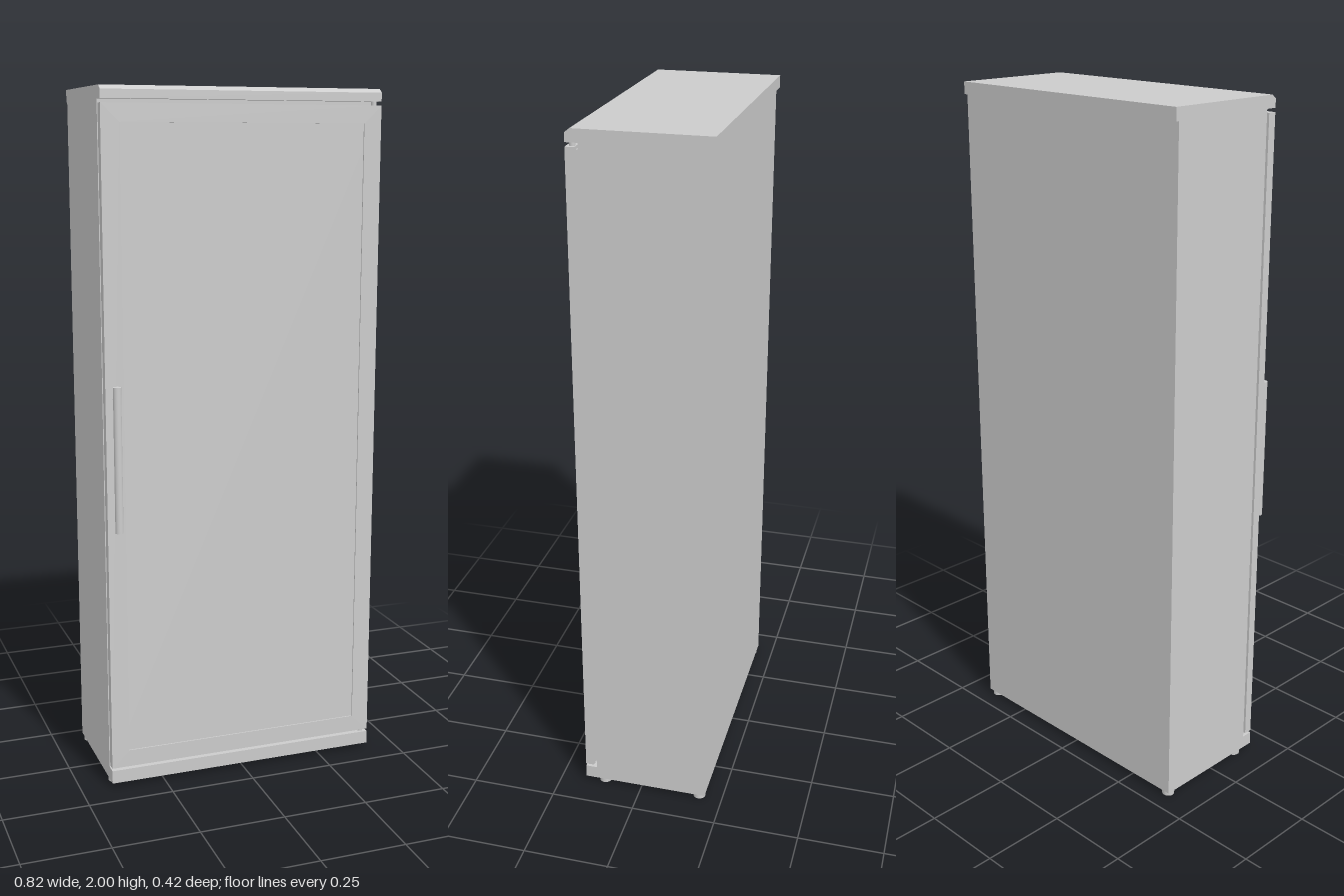
import * as THREE from 'three';

const grey = new THREE.MeshStandardMaterial({ color: 0xcccccc });

function add(parent, name, geometry, x = 0, y = 0, z = 0) {
  const mesh = new THREE.Mesh(geometry, grey);
  mesh.name = name;
  mesh.position.set(x, y, z);
  parent.add(mesh);
  return mesh;
}

// Box given by its lower and upper corners
function box(parent, name, [x0, y0, z0], [x1, y1, z1]) {
  return add(parent, name, new THREE.BoxGeometry(x1 - x0, y1 - y0, z1 - z0),
    (x0 + x1) / 2, (y0 + y1) / 2, (z0 + z1) / 2);
}

// Rectangle outline, used for the door frame and its opening
function rect(PathType, x, y0, y1) {
  const p = new PathType();
  p.moveTo(-x, y0).lineTo(x, y0).lineTo(x, y1).lineTo(-x, y1).closePath();
  return p;
}

export function createModel() {
  const model = new THREE.Group();
  model.name = 'cabinet';
  const W = 0.41, back = -0.2, front = 0.172;

  // Body and the plinth lip under the door
  box(model, 'body', [-W, 0.015, back], [W, 1.965, 0.138]);
  box(model, 'plinth', [-W, 0.015, 0.138], [W, 0.054, front]);

  // Top cap: side profile with chamfered front edge, extruded across the width
  const profile = new THREE.Shape([
    [-0.21, 1.965], [front, 1.965], [front, 1.989], [0.158, 2], [-0.21, 2],
  ].map(([z, y]) => new THREE.Vector2(-z, y)));
  const cap = new THREE.ExtrudeGeometry(profile, { depth: 2 * W, bevelEnabled: false });
  cap.translate(0, 0, -W).rotateY(Math.PI / 2);
  add(model, 'topCap', cap);

  // Door: gasket, back panel and a frame around a shallow recess
  const door = new THREE.Group();
  door.name = 'door';
  model.add(door);
  box(door, 'gasket', [-0.4, 0.07, 0.138], [0.4, 1.946, 0.147]);
  box(door, 'doorPanel', [-W, 0.062, 0.147], [W, 1.954, 0.168]);
  const frame = rect(THREE.Shape, W, 0.062, 1.954);
  frame.holes.push(rect(THREE.Path, 0.358, 0.112, 1.904));
  add(door, 'doorFrame', new THREE.ExtrudeGeometry(frame, { depth: 0.004, bevelEnabled: false }), 0, 0, 0.168);

  // Hinge pins in the gaps above and below the door
  for (const y of [0.058, 1.9595]) {
    add(model, 'hingePin', new THREE.CylinderGeometry(0.008, 0.008, 0.012, 20), 0.393, y, 0.157);
  }

  // Bar handle on two posts
  const handle = new THREE.Group();
  handle.name = 'handle';
  handle.position.set(-0.384, 0.99, 0.2);
  door.add(handle);
  add(handle, 'handleBar', new THREE.CylinderGeometry(0.0115, 0.0115, 0.414, 32));
  for (const y of [-0.168, 0.168]) {
    add(handle, 'handlePost', new THREE.CylinderGeometry(0.0055, 0.0055, 0.03, 20), 0, y, -0.015)
      .rotation.x = Math.PI / 2;
  }

  // Feet
  for (const x of [-0.39, 0.39]) {
    for (const z of [-0.18, 0.116]) {
      add(model, 'foot', new THREE.CylinderGeometry(0.018, 0.018, 0.015, 24), x, 0.0075, z);
    }
  }

  return model;
}
